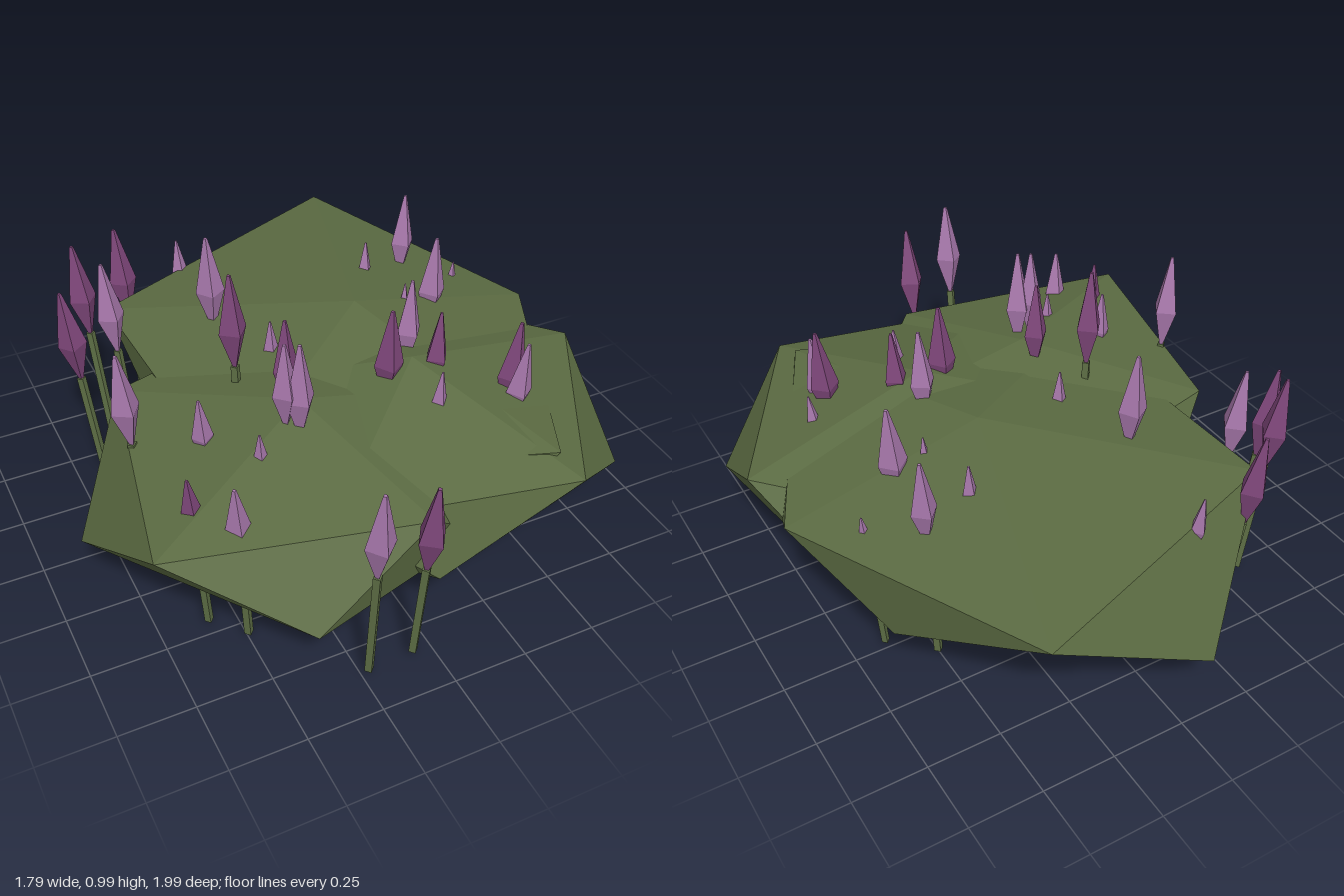
import * as THREE from 'three';
import { ConvexGeometry } from 'three/addons/geometries/ConvexGeometry.js';

const mat = (name, color) => {
  const m = new THREE.MeshStandardMaterial({ color, flatShading: true });
  m.name = name;
  return m;
};

// Faceted foliage clumps: top, upper ring, lower ring, bottom
const CLUMPS = {
  leftClump: [
    [-0.18, 0.64, 0.27],
    [-0.81, 0.53, 0.65], [-0.64, 0.52, -0.17], [0.08, 0.53, -0.36], [0.46, 0.5, 0.3], [0, 0.51, 0.82],
    [-0.9, 0.25, 0.18], [-0.4, 0.25, 0.87], [0.26, 0.27, 0.7], [0.42, 0.27, -0.08], [-0.32, 0.25, -0.4],
    [-0.18, 0.11, 0.27],
  ],
  rightClump: [
    [0.23, 0.66, 0.25],
    [0.89, 0.51, 0.18], [0.5, 0.51, 0.86], [-0.27, 0.51, 0.7], [-0.35, 0.51, -0.08], [0.37, 0.51, -0.4],
    [0.84, 0.26, 0.6], [0.03, 0.26, 0.82], [-0.42, 0.26, 0.32], [0, 0.27, -0.38], [0.74, 0.29, -0.19],
    [0.23, 0.11, 0.25],
  ],
  backClump: [
    [0.2, 0.675, -0.1],
    [0.48, 0.56, -1], [0.88, 0.51, -0.1], [0.48, 0.545, 0.75], [-0.48, 0.53, 0.39], [-0.52, 0.53, -0.63],
    [-0.1, 0.22, -1], [0.7, 0.28, -0.46], [0.76, 0.25, 0.3], [0.2, 0.25, 0.7], [-0.48, 0.24, -0.1],
    [0.2, 0, -0.1],
  ],
};

// Buds: x, z, radius, tip height
const LIGHT = [
  [-0.19, -0.76, 0.03, 0.65], [-0.55, -0.47, 0.05, 0.81], [-0.23, -0.34, 0.05, 0.9],
  [0.37, -0.35, 0.03, 0.72], [0.55, -0.4, 0.045, 0.84], [0.69, -0.27, 0.02, 0.6],
  [0.4, -0.11, 0.02, 0.68], [0.51, -0.11, 0.05, 0.83], [-0.13, -0.06, 0.027, 0.71],
  [-0.7, 0.13, 0.05, 0.88], [-0.5, 0.25, 0.035, 0.73], [-0.26, 0.34, 0.045, 0.92],
  [-0.22, 0.36, 0.05, 0.92], [-0.38, 0.42, 0.025, 0.68], [0.27, 0.15, 0.047, 0.88],
  [0.23, 0.43, 0.028, 0.72], [0.51, 0.46, 0.045, 0.76], [0.6, 0.31, 0.025, 0.65],
  [-0.54, 0.62, 0.045, 0.7], [-0.25, 0.94, 0.05, 0.83],
];
const DARK = [
  [-0.42, -0.73, 0.05, 0.77], [-0.61, -0.59, 0.05, 0.83], [-0.7, -0.45, 0.05, 0.75],
  [-0.3, 0.03, 0.05, 0.99], [-0.19, 0.19, 0.045, 0.89], [0.14, 0.26, 0.05, 0.87],
  [0.31, 0.27, 0.042, 0.82], [0.51, 0.41, 0.05, 0.81], [-0.64, 0.51, 0.035, 0.68],
  [-0.08, 0.93, 0.05, 0.78],
];

export function createModel() {
  const group = new THREE.Group();
  const foliage = mat('foliage green', 0x5b6b42);
  const stemGreen = mat('stem green', 0x5f7046);
  const lightPetal = mat('light purple', 0xa878ac);
  const darkPetal = mat('dark purple', 0x7f477b);

  for (const [name, pts] of Object.entries(CLUMPS)) {
    const mesh = new THREE.Mesh(new ConvexGeometry(pts.map(p => new THREE.Vector3(...p))), foliage);
    mesh.name = name;
    group.add(mesh);
  }

  // Four-sided bud of unit radius, widest point at the origin
  const budGeo = new THREE.LatheGeometry(
    [[0, -3.4], [1, 0], [0.14, 4.1], [0, 4.1]].map(p => new THREE.Vector2(...p)), 4);
  const stemGeo = new THREE.CylinderGeometry(1, 1, 1, 4);
  const up = new THREE.Vector3(0, 1, 0);

  const addFlower = ([x, z, r, tip], petal, i) => {
    // Each flower leans slightly outward from the middle
    const foot = new THREE.Vector3(x * 0.93, 0.035, z * 0.925);
    const mid = new THREE.Vector3(x, tip - 4.1 * r, z);
    const dir = mid.clone().sub(foot);
    const length = dir.length() - 2.8 * r;
    dir.normalize();

    const flower = new THREE.Group();
    flower.name = 'flower';
    flower.position.copy(foot);
    flower.quaternion.setFromUnitVectors(up, dir);

    const stem = new THREE.Mesh(stemGeo, stemGreen);
    stem.name = 'stem';
    const s = 0.012 + r * 0.08;
    stem.scale.set(s, length, s);
    stem.position.y = length / 2;

    const bud = new THREE.Mesh(budGeo, petal);
    bud.name = 'bud';
    bud.scale.setScalar(r);
    bud.position.y = length + 2.8 * r;
    bud.rotation.y = 0.2 * Math.sin(i * 2.3);

    flower.add(stem, bud);
    group.add(flower);
  };
  LIGHT.forEach((f, i) => addFlower(f, lightPetal, i));
  DARK.forEach((f, i) => addFlower(f, darkPetal, i));
  return group;
}
